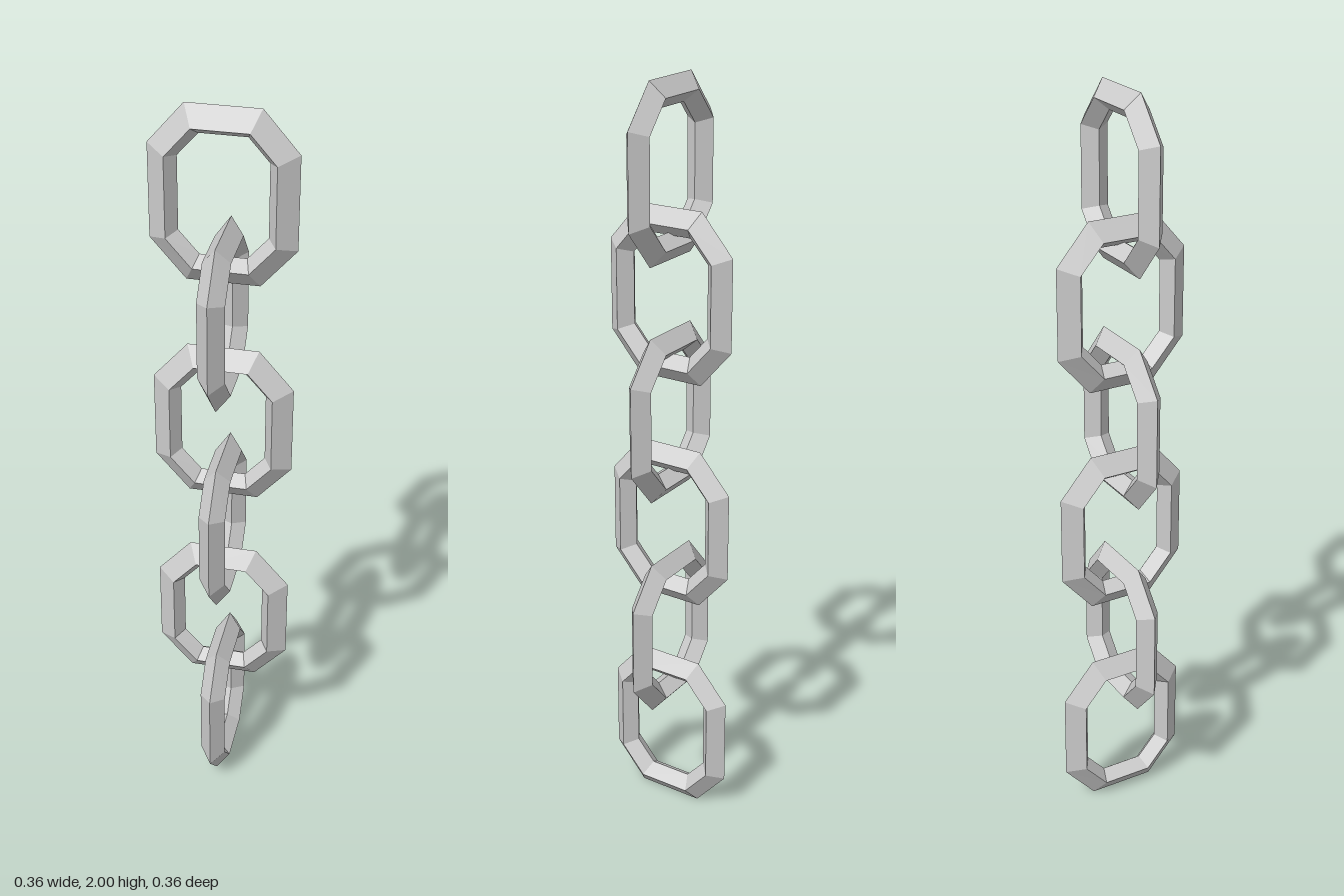
import * as THREE from 'three';

const LINKS = 6;
const SPACING = 0.3115;
const HALF_W = 0.178, HALF_H = 0.2213; // outer size of a link
const FLAT = 0.09, SIDE = 0.119;       // half lengths of its end and side edges

// Four-sided bar section: [depth inward from the outer ridge, offset across]
const SECTION = [[0, 0], [0.047, 0.036], [0.07, 0], [0.04, -0.034]];

// Octagon outline, mitred inward by d, counter-clockwise
function outline(d) {
  const w = HALF_W - d, h = HALF_H - d;
  const f = FLAT - 0.466 * d, s = SIDE - 0.364 * d;
  return [[w, -s], [w, s], [f, h], [-f, h], [-w, s], [-w, -s], [-f, -h], [f, -h]];
}

// Sweep the section around the octagon
function linkGeometry() {
  const positions = [], index = [];
  const n = 8, m = SECTION.length;
  for (const [d, z] of SECTION) {
    for (const [x, y] of outline(d)) positions.push(x, y, z);
  }
  for (let j = 0; j < m; j++) {
    for (let i = 0; i < n; i++) {
      const i2 = (i + 1) % n, j2 = (j + 1) % m;
      const a = j * n + i, b = j * n + i2, c = j2 * n + i2, e = j2 * n + i;
      index.push(a, b, c, a, c, e);
    }
  }
  const geometry = new THREE.BufferGeometry();
  geometry.setAttribute('position', new THREE.Float32BufferAttribute(positions, 3));
  geometry.setIndex(index);
  const flat = geometry.toNonIndexed();
  flat.computeVertexNormals();
  return flat;
}

export function createModel() {
  const chain = new THREE.Group();
  chain.name = 'chain';
  const geometry = linkGeometry();
  const material = new THREE.MeshStandardMaterial({ color: 0xcccccc, flatShading: true });

  // Links from top to bottom, every second one turned a quarter
  for (let i = 0; i < LINKS; i++) {
    const link = new THREE.Mesh(geometry, material);
    link.name = `chainLink${i + 1}`;
    link.position.y = 2 - HALF_H - i * SPACING;
    if (i % 2) link.rotation.y = -Math.PI / 2;
    chain.add(link);
  }
  return chain;
}
